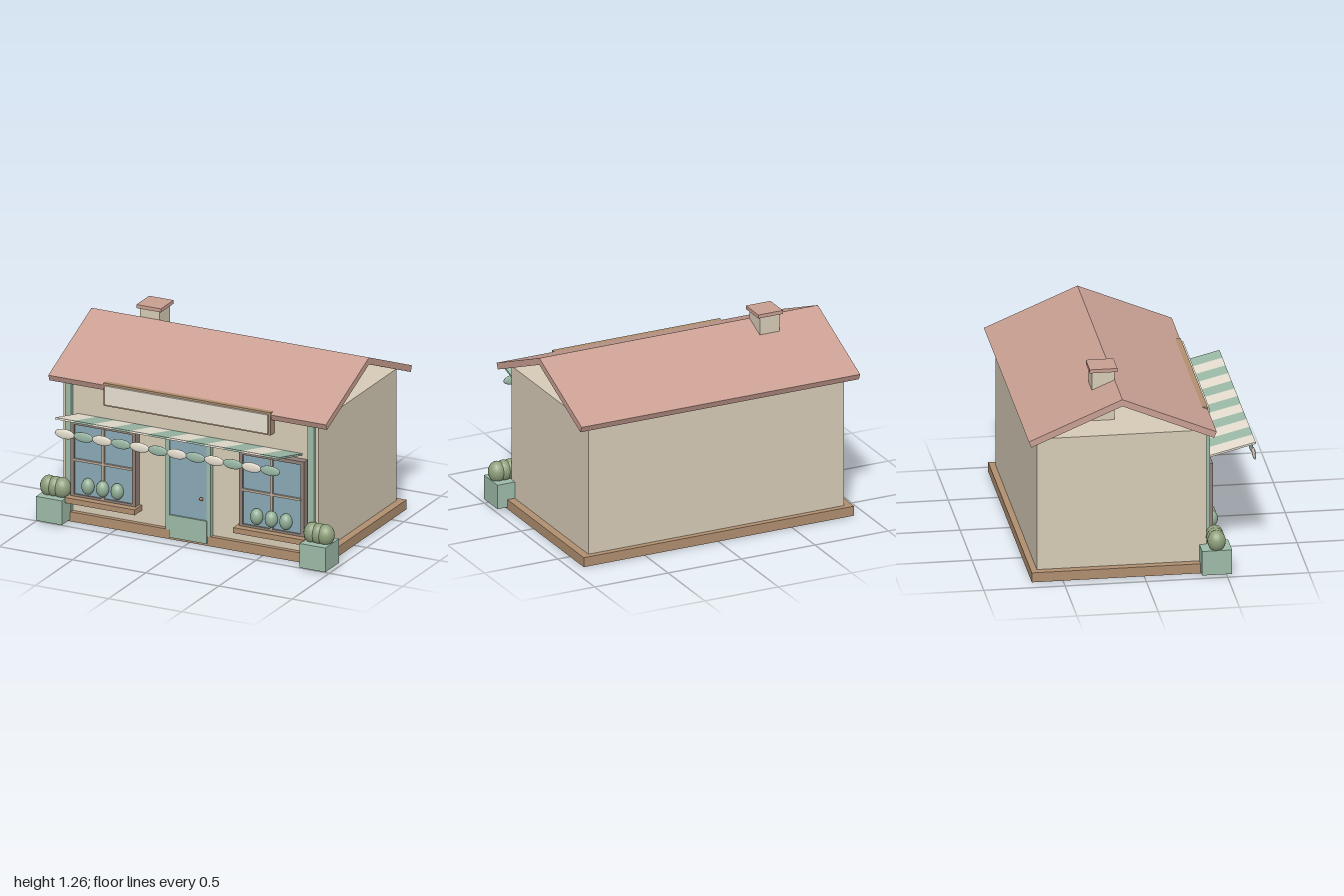
import * as THREE from 'three';

const mat = (color, side = THREE.FrontSide) => new THREE.MeshStandardMaterial({ color, side });
const M = {
  wall: mat(0xd6cbb6), roof: mat(0xc99f92), wood: mat(0xb08f70), green: mat(0x9dbba8),
  cream: mat(0xe8e1d2), glass: mat(0x8aaab6), frame: mat(0x8f8078), bar: mat(0xb5a796),
  leaf: mat(0x8fa07c), pot: mat(0x92ae96), knob: mat(0x9a6f50),
};

export function createModel() {
  const shop = new THREE.Group();
  shop.name = 'shop';

  const add = (name, geometry, material, parent) => {
    const mesh = new THREE.Mesh(geometry, material);
    mesh.name = name;
    parent.add(mesh);
    return mesh;
  };
  // Box given by its limits on each axis
  const box = (name, material, x0, x1, y0, y1, z0, z1, parent = shop) => {
    const mesh = add(name, new THREE.BoxGeometry(x1 - x0, y1 - y0, z1 - z0), material, parent);
    mesh.position.set((x0 + x1) / 2, (y0 + y1) / 2, (z0 + z1) / 2);
    return mesh;
  };
  const ellipsoid = (name, material, x, y, z, rx, ry, rz, parent = shop) => {
    const mesh = add(name, new THREE.SphereGeometry(1, 18, 12), material, parent);
    mesh.position.set(x, y, z);
    mesh.scale.set(rx, ry, rz);
    return mesh;
  };

  // Plinth and walls
  box('plinth', M.wood, -0.92, 0.92, 0.003, 0.065, -0.693, 0.42);
  box('walls', M.wall, -0.87, 0.87, 0, 0.92, -0.655, 0.39);

  // Gabled roof: open chevron section, swept along x
  const section = new THREE.Shape(
    [[0.14, 1.18], [-0.44, 0.936], [-0.424, 0.898], [0.14, 1.136], [0.7, 0.898], [0.716, 0.936]]
      .map(([a, y]) => new THREE.Vector2(a, y)));
  const roofGeometry = new THREE.ExtrudeGeometry(section, { depth: 1.896, bevelEnabled: false });
  const roof = add('roof', roofGeometry, M.roof, shop);
  roof.rotation.y = Math.PI / 2;
  roof.position.x = -0.95;

  // Chimney
  box('chimney', M.wall, -0.62, -0.485, 0.92, 1.24, -0.28, -0.14);
  box('chimneyCap', M.roof, -0.635, -0.468, 1.237, 1.26, -0.295, -0.125);

  // Blank sign board
  box('signFrame', M.wood, -0.572, 0.568, 0.802, 0.95, 0.39, 0.44);
  box('signPanel', M.cream, -0.558, 0.554, 0.814, 0.937, 0.43, 0.453);

  // Striped awning, tilted upwards, with a row of scallops below its outer edge
  const awning = new THREE.Group();
  awning.name = 'awning';
  shop.add(awning);
  const stripes = 12, stripeWidth = 1.53 / stripes;
  for (let i = 0; i < stripes; i++) {
    const x = -0.767 + (i + 0.5) * stripeWidth;
    const material = i % 2 ? M.green : M.cream;
    const stripe = add('awningStripe', new THREE.BoxGeometry(stripeWidth, 0.012, 0.32), material, awning);
    stripe.position.set(x, 0.737, 0.553);
    stripe.rotation.x = -0.247;
    ellipsoid('awningScallop', material, x, 0.684, 0.705, 0.068, 0.032, 0.01, awning);
  }

  // Door
  const door = new THREE.Group();
  door.name = 'door';
  shop.add(door);
  box('doorGlass', M.glass, -0.132, 0.126, 0.02, 0.665, 0.38, 0.418, door);
  box('doorKickPanel', M.green, -0.132, 0.126, 0.018, 0.165, 0.38, 0.43, door);
  box('doorPostRight', M.green, -0.157, -0.13, 0.065, 0.68, 0.38, 0.424, door);
  box('doorPostLeft', M.green, 0.124, 0.15, 0.065, 0.68, 0.38, 0.424, door);
  box('doorLintel', M.green, -0.157, 0.15, 0.66, 0.685, 0.38, 0.424, door);
  ellipsoid('doorKnob', M.knob, 0.088, 0.302, 0.428, 0.012, 0.012, 0.012, door);

  // Parts on both sides of the door
  for (const s of [-1, 1]) {
    const cx = s * 0.576;
    const post = s * 0.829;
    box('cornerPost', M.green, post - 0.021, post + 0.021, 0.065, 0.915, 0.385, 0.414);

    const win = new THREE.Group();
    win.name = 'window';
    shop.add(win);
    const w = 0.222;
    box('windowGlass', M.glass, cx - 0.2, cx + 0.2, 0.19, 0.65, 0.38, 0.43, win);
    for (const e of [-1, 1]) {
      const x = cx + e * (w - 0.012);
      box('windowFrameSide', M.frame, x - 0.012, x + 0.012, 0.18, 0.668, 0.38, 0.44, win);
    }
    box('windowFrameTop', M.frame, cx - w, cx + w, 0.645, 0.668, 0.38, 0.44, win);
    box('windowFrameBottom', M.frame, cx - w, cx + w, 0.175, 0.195, 0.38, 0.44, win);
    box('mullion', M.bar, cx - 0.008, cx + 0.008, 0.19, 0.65, 0.41, 0.445, win);
    box('crossbar', M.bar, cx - 0.2, cx + 0.2, 0.411, 0.426, 0.41, 0.444, win);
    box('windowSill', M.wood, cx - 0.24, cx + 0.24, 0.145, 0.18, 0.38, 0.487, win);
    for (const i of [-1, 0, 1]) {
      ellipsoid('sillPlant', M.pot, cx + i * 0.1, 0.262, 0.447, 0.04, 0.052, 0.04, win);
    }

    // Planter with three clumps of foliage
    const px = s * 0.9;
    box('planter', M.green, px - 0.088, px + 0.088, 0.015, 0.172, 0.345, 0.53);
    for (const i of [-1, 0, 1]) {
      ellipsoid('planterBush', M.leaf, px + i * 0.044, 0.22, 0.44, 0.056, 0.067, 0.056);
    }
  }

  return shop;
}
